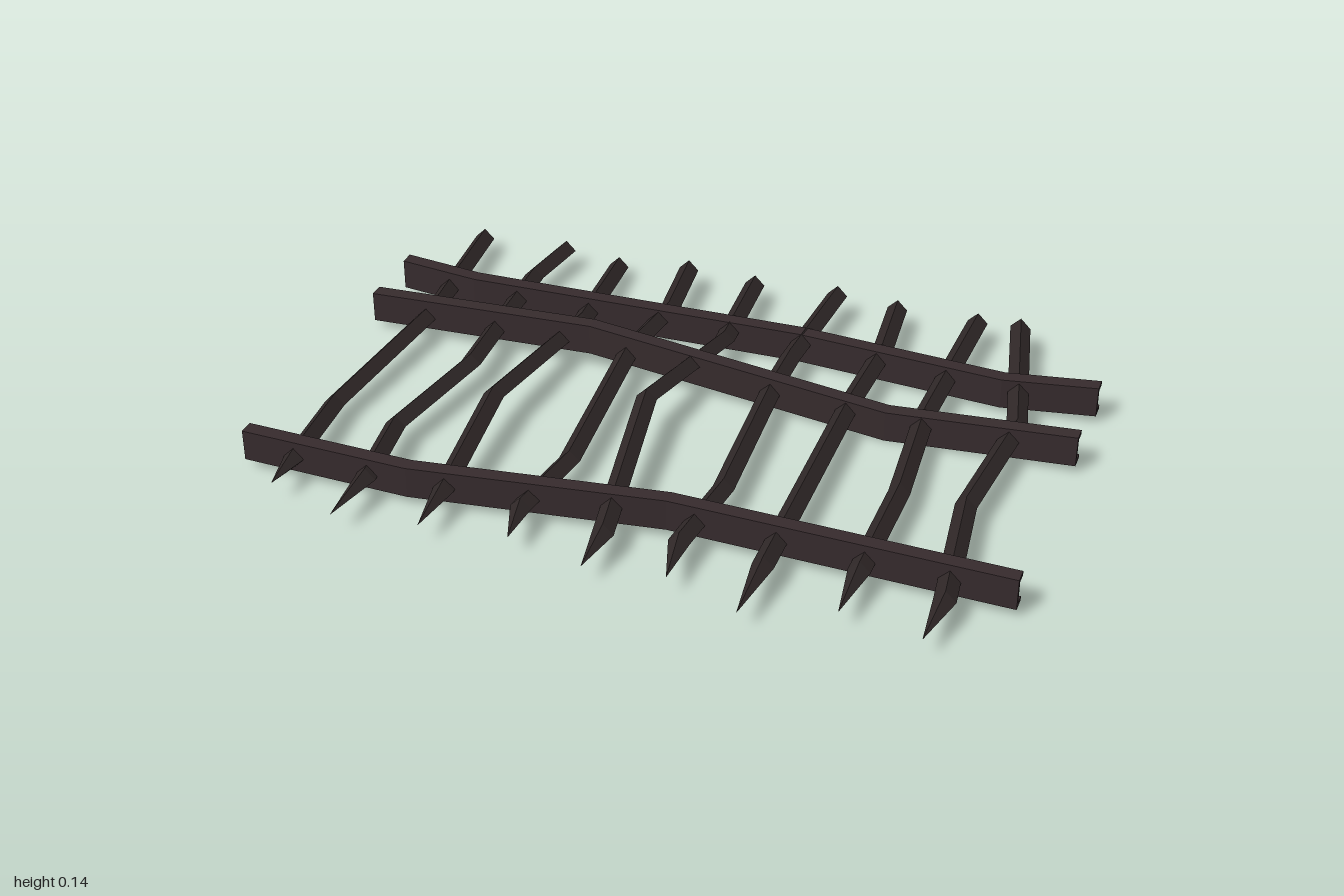
import * as THREE from 'three';

// Faceted solid through a list of cross-section rings (Vector3 loops), capped at both ends.
// profile is the 2D outline, counter-clockwise when seen from the sweep's far end.
function sweep(rings, profile) {
  const pos = [];
  const tri = (a, b, c) => pos.push(...a.toArray(), ...b.toArray(), ...c.toArray());
  const n = profile.length;
  for (let s = 0; s < rings.length - 1; s++) {
    const a = rings[s], b = rings[s + 1];
    for (let i = 0; i < n; i++) {
      const j = (i + 1) % n;
      tri(a[i], a[j], b[j]);
      tri(a[i], b[j], b[i]);
    }
  }
  const first = rings[0], last = rings[rings.length - 1];
  for (const [i, j, k] of THREE.ShapeUtils.triangulateShape(profile, [])) {
    tri(first[i], first[k], first[j]);
    tri(last[i], last[j], last[k]);
  }
  const g = new THREE.BufferGeometry();
  g.setAttribute('position', new THREE.Float32BufferAttribute(pos, 3));
  g.computeVertexNormals();
  return g;
}

const outline = (pts) => pts.map(([u, v]) => new THREE.Vector2(u, v));

// Spiked bar: diamond section running along z, closing to a point at the last station
const R = 0.028;
const diamond = outline([[R, 0], [0, R], [-R, 0], [0, -R]]);
function barGeometry(path) {
  const rings = path.map(([x, y, z], i) => {
    const k = i === path.length - 1 ? 0.02 : 1;
    return diamond.map((p) => new THREE.Vector3(x + p.x * k, y + p.y * k, z));
  });
  return sweep(rings, diamond);
}

// Channel rail: C section running along x, open toward the back (u = y, v = z)
const H = 0.043, W = 0.02, T = 0.012;
const channel = outline([
  [-H, -W], [-H + T, -W], [-H + T, W - T], [H - T, W - T],
  [H - T, -W], [H, -W], [H, W], [-H, W],
]).reverse();
if (THREE.ShapeUtils.area(channel) < 0) channel.reverse();
function railGeometry(path) {
  const rings = path.map(([x, y, z]) =>
    channel.map((p) => new THREE.Vector3(x, y + p.x, z + p.y)));
  return sweep(rings, channel);
}

// Stations [x, y, z] of each bar, from the back end to the tip
const bars = [
  [[-0.885, 0.05, -0.73], [-0.835, 0.065, -0.27], [-0.885, 0.052, 0.23], [-0.855, 0.065, 0.51], [-0.855, 0.065, 0.63]],
  [[-0.625, 0.06, -0.73], [-0.65, 0.062, -0.55], [-0.62, 0.07, -0.05], [-0.68, 0.065, 0.285], [-0.645, 0.065, 0.53], [-0.655, 0.065, 0.7]],
  [[-0.46, 0.038, -0.73], [-0.425, 0.065, -0.36], [-0.475, 0.102, 0.12], [-0.44, 0.065, 0.51], [-0.435, 0.065, 0.665]],
  [[-0.245, 0.07, -0.73], [-0.22, 0.065, -0.5], [-0.245, 0.07, -0.27], [-0.2, 0.06, 0.27], [-0.23, 0.065, 0.51], [-0.21, 0.065, 0.635]],
  [[-0.045, 0.06, -0.73], [-0.02, 0.07, -0.4], [-0.09, 0.114, 0.01], [0, 0.065, 0.54], [0, 0.065, 0.68]],
  [[0.2, 0.075, -0.73], [0.175, 0.065, -0.38], [0.175, 0.062, -0.24], [0.21, 0.065, 0.26], [0.185, 0.065, 0.51], [0.205, 0.065, 0.65]],
  [[0.375, 0.065, -0.73], [0.4, 0.065, -0.49], [0.39, 0.06, -0.23], [0.4, 0.065, 0.24], [0.405, 0.065, 0.53], [0.405, 0.065, 0.72]],
  [[0.605, 0.07, -0.73], [0.59, 0.06, -0.24], [0.625, 0.065, 0.125], [0.625, 0.065, 0.47], [0.625, 0.065, 0.635]],
  [[0.725, 0.078, -0.73], [0.83, 0.065, -0.26], [0.795, 0.065, 0.125], [0.845, 0.065, 0.51], [0.835, 0.065, 0.665]],
];

// Stations of each rail, from right to left
const rails = {
  frontRail: [[-1, 0.068, 0.49], [-0.54, 0.066, 0.495], [0.12, 0.07, 0.405], [1, 0.066, 0.413]],
  middleRail: [[-1, 0.066, -0.25], [-0.35, 0.093, -0.255], [0.5, 0.044, -0.195], [1, 0.066, -0.22]],
  backRail: [[-1, 0.066, -0.445], [-0.77, 0.066, -0.42], [0.17, 0.05, -0.48], [0.75, 0.06, -0.43], [1, 0.066, -0.467]],
};

export function createModel() {
  const model = new THREE.Group();
  model.name = 'spikedGrate';
  const railMaterial = new THREE.MeshStandardMaterial({ color: 0x362b2d });
  railMaterial.name = 'dark rail iron';
  const barMaterial = new THREE.MeshStandardMaterial({ color: 0x302828 });
  barMaterial.name = 'dark bar iron';

  bars.forEach((path, i) => {
    const bar = new THREE.Mesh(barGeometry(path), barMaterial);
    bar.name = `spikedBar${i + 1}`;
    model.add(bar);
  });
  for (const [name, path] of Object.entries(rails)) {
    const rail = new THREE.Mesh(railGeometry(path), railMaterial);
    rail.name = name;
    model.add(rail);
  }
  return model;
}
